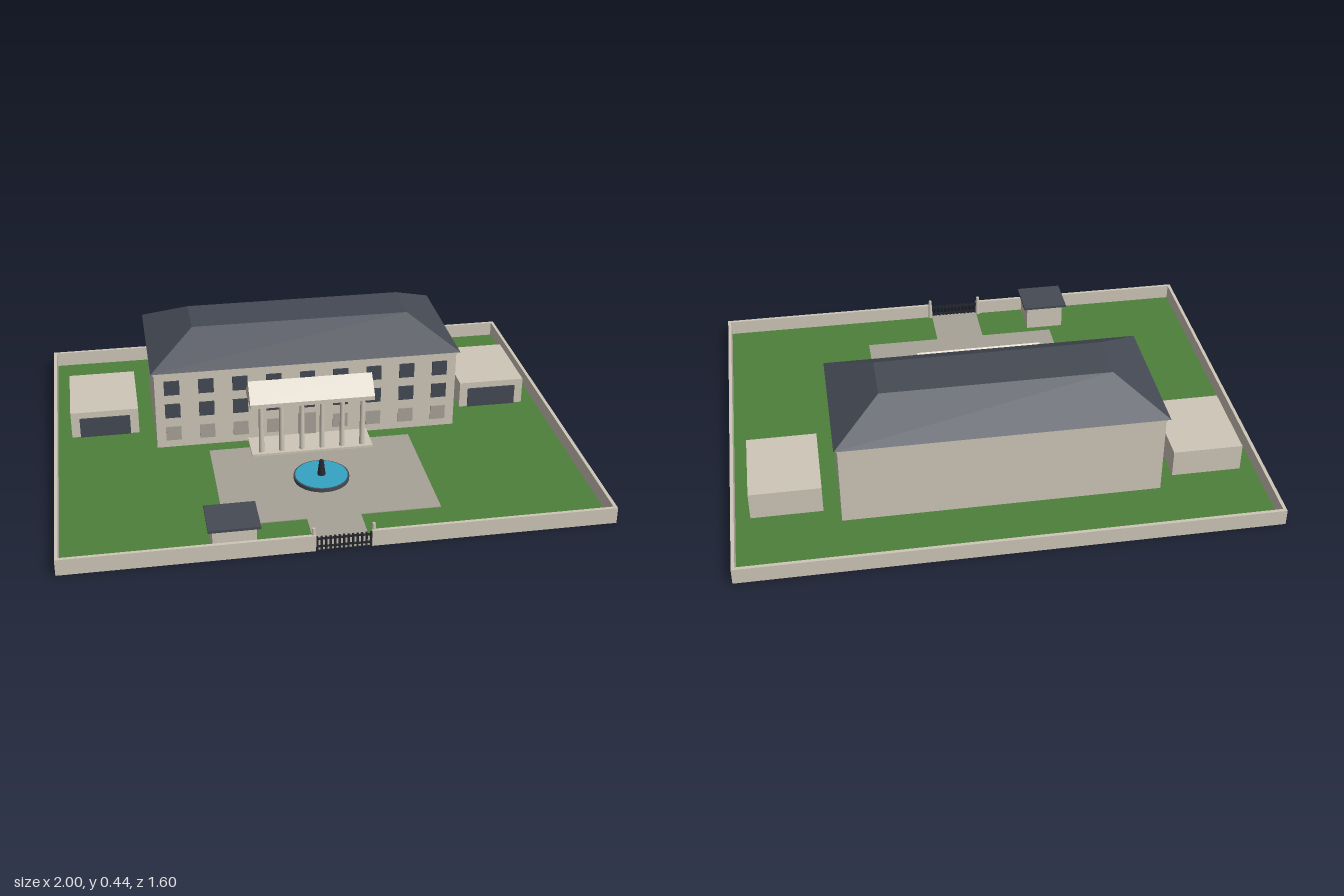
import * as THREE from 'three';

const mat = (name, color, side = THREE.FrontSide) => {
  const m = new THREE.MeshStandardMaterial({ color, side });
  m.name = name;
  return m;
};

export function createModel() {
  const stone = mat('stone', 0xcdc6b8);
  const paving = mat('paving', 0xa8a297);
  const grass = mat('grass', 0x4e803b);
  const slate = mat('slate', 0x454a54);
  const glass = mat('darkGlass', 0x434854);
  const iron = mat('iron', 0x24272d);
  const water = mat('water', 0x36a2c4);

  const root = new THREE.Group();
  root.name = 'mansionEstate';

  const add = (name, geo, material, parent = root) => {
    const m = new THREE.Mesh(geo, material);
    m.name = name;
    parent.add(m);
    return m;
  };
  // Box given by its minimum and maximum on each axis
  const box = (name, material, [x0, x1], [y0, y1], [z0, z1], parent = root) => {
    const m = add(name, new THREE.BoxGeometry(x1 - x0, y1 - y0, z1 - z0), material, parent);
    m.position.set((x0 + x1) / 2, (y0 + y1) / 2, (z0 + z1) / 2);
    return m;
  };
  const cylinder = (name, material, rTop, rBottom, y0, y1, x, z, sides, parent = root) => {
    const m = add(name, new THREE.CylinderGeometry(rTop, rBottom, y1 - y0, sides), material, parent);
    m.position.set(x, (y0 + y1) / 2, z);
    return m;
  };
  const group = (name) => {
    const g = new THREE.Group();
    g.name = name;
    root.add(g);
    return g;
  };

  // Grounds
  box('lawn', grass, [-0.995, 0.995], [0.001, 0.003], [-0.795, 0.795]);
  box('forecourt', paving, [-0.4, 0.4], [0.002, 0.006], [0.06, 0.6]);
  box('drivewayPath', paving, [-0.1, 0.1], [0.002, 0.006], [0.6, 0.795]);

  // Perimeter wall with an opening for the gate
  const wall = group('perimeterWall');
  const wallY = [0, 0.063], t = 0.013;
  box('backWall', stone, [-1, 1], wallY, [-0.8, -0.8 + t], wall);
  for (const s of [-1, 1]) {
    const side = s < 0 ? [-1, -1 + t] : [1 - t, 1];
    box('sideWall', stone, side, wallY, [-0.8 + t, 0.8 - t], wall);
    box('frontWall', stone, s < 0 ? [-1, -0.1] : [0.1, 1], wallY, [0.8 - t, 0.8], wall);
    cylinder('gatePost', stone, 0.006, 0.01, 0, 0.088, s * 0.107, 0.787, 8, wall);
  }

  // Gate: rails and upright bars
  const gate = group('gate');
  for (const y of [0.012, 0.044])
    box('gateRail', iron, [-0.1, 0.1], [y, y + 0.006], [0.791, 0.797], gate);
  for (let i = 0; i <= 12; i++) {
    const x = -0.096 + i * 0.016;
    box('gateBar', iron, [x - 0.0035, x + 0.0035], [0, 0.056], [0.79, 0.798], gate);
  }

  // Main house
  const house = group('house');
  box('houseBody', stone, [-0.6, 0.6], [0.001, 0.335], [-0.533, 0], house);
  box('cornice', stone, [-0.603, 0.603], [0.32, 0.335], [-0.536, 0.003], house);

  // Hipped roof with a flat top: taper the upper corners of a box
  const roofGeo = new THREE.BoxGeometry(1.226, 0.107, 0.56).toNonIndexed();
  const p = roofGeo.attributes.position;
  for (let i = 0; i < p.count; i++)
    if (p.getY(i) > 0) p.setXYZ(i, Math.sign(p.getX(i)) * 0.433, p.getY(i), Math.sign(p.getZ(i)) * 0.1);
  roofGeo.computeVertexNormals();
  add('houseRoof', roofGeo, slate, house).position.set(0, 0.387, -0.267);

  // Three rows of nine windows, the lowest row in stone panels
  [0.065, 0.165, 0.265].forEach((y, row) => {
    for (let c = -4; c <= 4; c++) {
      const x = c * 0.1333;
      if (row === 0 && c === 0) continue;
      box('window', row === 0 ? paving : glass, [x - 0.03, x + 0.03], [y - 0.03, y + 0.03],
        [-0.002, 0.005], house);
    }
  });
  box('frontDoor', paving, [-0.035, 0.035], [0.015, 0.11], [-0.002, 0.005], house);

  // Portico: gabled roof on six columns
  const portico = group('portico');
  const gable = new THREE.Shape([[0, 0.218], [0.138, 0.218], [0.138, 0.235], [0.069, 0.304], [0, 0.235]]
    .map(([z, y]) => new THREE.Vector2(-z, y)));
  const gableGeo = new THREE.ExtrudeGeometry(gable, { depth: 0.488, bevelEnabled: false });
  gableGeo.rotateY(Math.PI / 2).translate(-0.244, 0, 0);
  add('porticoRoof', gableGeo, stone, portico);
  box('porticoFloor', stone, [-0.24, 0.24], [0.001, 0.015], [0, 0.136], portico);
  for (let i = 0; i < 6; i++)
    cylinder('column', stone, 0.009, 0.011, 0.015, 0.22, -0.2 + i * 0.08, 0.114, 12, portico);

  // Fountain
  const fountain = group('fountain');
  const fz = 0.33;
  cylinder('basin', slate, 0.106, 0.106, 0, 0.02, 0, fz, 32, fountain);
  cylinder('poolWater', water, 0.1, 0.1, 0.015, 0.022, 0, fz, 32, fountain);
  cylinder('fountainPedestal', iron, 0.01, 0.016, 0.02, 0.07, 0, fz, 12, fountain);
  cylinder('fountainTop', iron, 0.008, 0.01, 0.07, 0.083, 0, fz, 12, fountain);

  // Garages on both sides of the house
  for (const s of [-1, 1]) {
    const g = group(s < 0 ? 'rightGarage' : 'leftGarage');
    const x = s * 0.798;
    box('garageBody', stone, [x - 0.134, x + 0.134], [0.001, 0.112], [-0.467, -0.136], g);
    box('garageDoor', glass, [x - 0.1, x + 0.1], [0.003, 0.086], [-0.138, -0.131], g);
  }

  // Guard hut by the gate
  const hut = group('guardHut');
  box('hutBody', stone, [-0.46, -0.305], [0.001, 0.105], [0.632, 0.778], hut);
  box('hutRoof', slate, [-0.475, -0.29], [0.104, 0.114], [0.62, 0.786], hut);

  return root;
}
